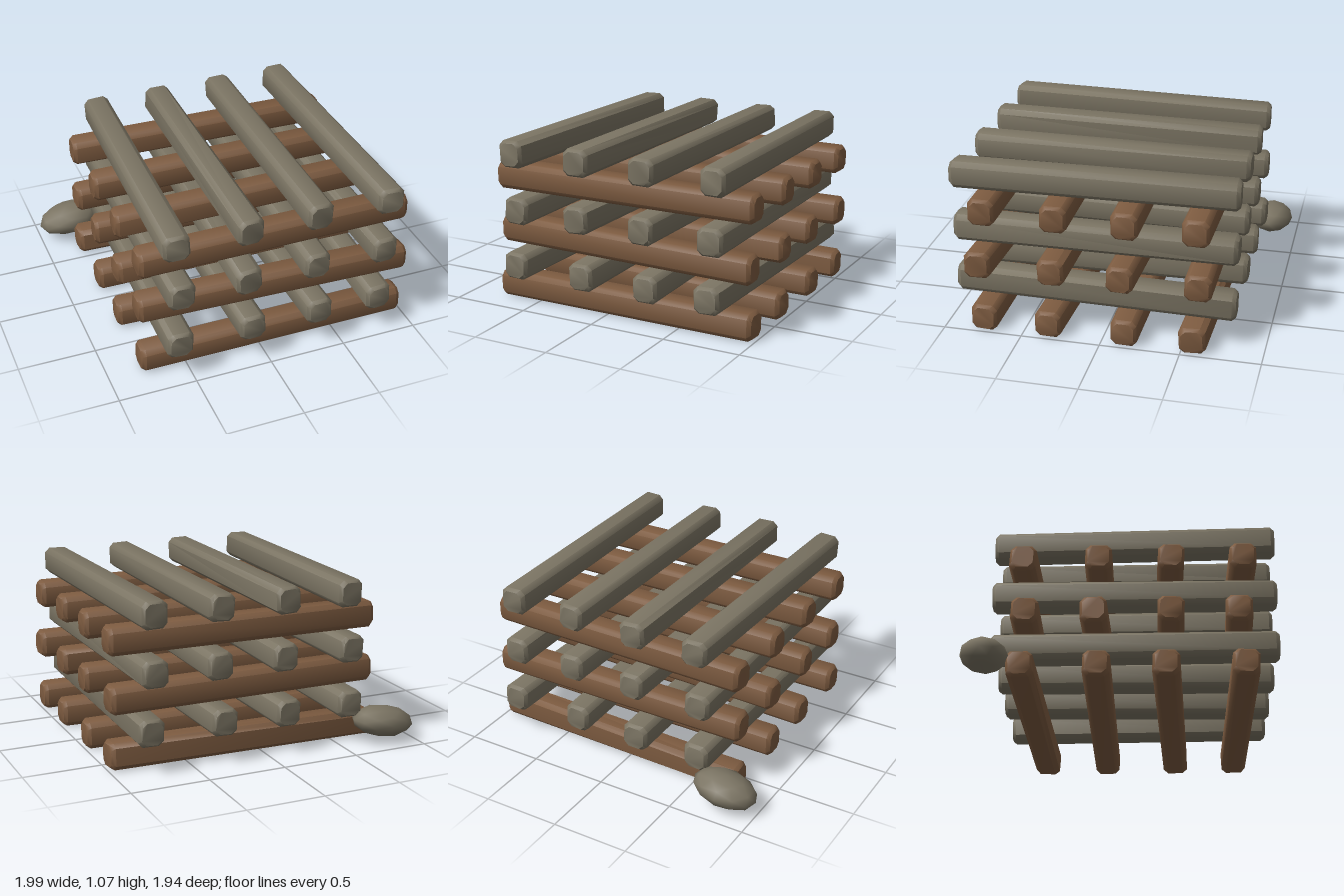
import * as THREE from 'three';
import { mergeVertices, toCreasedNormals } from 'three/addons/utils/BufferGeometryUtils.js';

const LENGTH = 1.775, WIDTH = 0.165, HEIGHT = 0.172, CHAMFER = 0.03;

// Small seeded generator, returns -1..1
let seed = 7;
function jitter() {
  seed = (seed * 16807) % 2147483647;
  return (seed / 2147483647) * 2 - 1;
}

// Chamfered cross-section, counter-clockwise
function profile(inset) {
  const w = WIDTH / 2 - inset, h = HEIGHT / 2 - inset, c = CHAMFER;
  return [[w, -h + c], [w, h - c], [w - c, h], [-w + c, h],
    [-w, h - c], [-w, -h + c], [-w + c, -h], [w - c, -h]];
}

// Rough-hewn beam along z, running from x = start to x = end with a slight twist
function beamGeometry(start, end) {
  const half = LENGTH / 2, positions = [], index = [];
  const stations = [[-half, 0.016], [-half + 0.024, 0], [half - 0.024, 0], [half, 0.016]];
  const rolls = [jitter() * 0.07, jitter() * 0.07];
  const slants = [jitter() * 0.07, jitter() * 0.07];
  stations.forEach(([z, inset], s) => {
    const side = s < 2 ? 0 : 1;
    const x0 = side ? end : start;
    const cos = Math.cos(rolls[side]), sin = Math.sin(rolls[side]);
    const ring = profile(inset).map(([x, y]) => {
      const px = x * cos - y * sin;
      const py = THREE.MathUtils.clamp(x * sin + y * cos, -HEIGHT / 2, HEIGHT / 2);
      return [px + x0, py, z + px * slants[side]];
    });
    ring.forEach((p) => positions.push(...p));
  });
  for (let s = 0; s < 3; s++) {
    for (let i = 0; i < 8; i++) {
      const a = s * 8 + i, b = s * 8 + (i + 1) % 8;
      index.push(a, b, b + 8, a, b + 8, a + 8);
    }
  }
  // End caps
  for (let i = 1; i < 7; i++) {
    index.push(0, i + 1, i, 24, 24 + i, 25 + i);
  }
  const g = new THREE.BufferGeometry();
  g.setAttribute('position', new THREE.Float32BufferAttribute(positions, 3));
  g.setIndex(index);
  return toCreasedNormals(g, 0.83);
}

export function createModel() {
  const model = new THREE.Group();
  const brown = new THREE.MeshStandardMaterial({ color: 0x7d5b40 });
  brown.name = 'brown wood';
  const grey = new THREE.MeshStandardMaterial({ color: 0x7b7463 });
  grey.name = 'weathered grey';

  // Crosswise beams per layer: z at the left end (+x) and at the right end (-x)
  const crossLayers = [
    [[-0.57, -0.615], [-0.145, -0.155], [0.335, 0.265], [0.745, 0.745]],
    [[-0.6, -0.595], [-0.12, -0.175], [0.31, 0.3], [0.775, 0.715]],
    [[-0.58, -0.615], [-0.15, -0.145], [0.285, 0.305], [0.735, 0.75]],
  ];
  // Lengthwise beams per layer: x at the front end and at the back end
  const longLayers = [
    [[-0.58, -0.565], [-0.105, -0.13], [0.345, 0.305], [0.755, 0.785]],
    [[-0.565, -0.57], [-0.135, -0.105], [0.315, 0.335], [0.775, 0.755]],
    [[-0.595, -0.55], [-0.13, -0.12], [0.32, 0.325], [0.79, 0.755]],
  ];

  for (let layer = 0; layer < 3; layer++) {
    const cross = new THREE.Group();
    cross.name = `crossLayer${layer + 1}`;
    cross.position.set(0.1, 0.09 + layer * 0.36, 0);
    crossLayers[layer].forEach(([left, right], i) => {
      const beam = new THREE.Mesh(beamGeometry(-right, -left), brown);
      beam.rotation.y = Math.PI / 2;
      beam.name = `crossBeam${i + 1}`;
      cross.add(beam);
    });

    const long = new THREE.Group();
    long.name = `longLayer${layer + 1}`;
    long.position.set(0, 0.27 + layer * 0.36, 0.075);
    longLayers[layer].forEach(([front, back], i) => {
      const beam = new THREE.Mesh(beamGeometry(back, front), grey);
      beam.name = `longBeam${i + 1}`;
      long.add(beam);
    });
    model.add(cross, long);
  }

  // Flattened stone beside the back right corner
  let stone = new THREE.IcosahedronGeometry(1, 1);
  stone.deleteAttribute('normal');
  stone.deleteAttribute('uv');
  stone = mergeVertices(stone, 0.001);
  stone.scale(0.212, 0.1, 0.146);
  stone.rotateZ(0.15);
  stone.computeVertexNormals();
  const rock = new THREE.Mesh(stone, grey);
  rock.name = 'stone';
  rock.position.set(-0.79, 0.138, -0.825);
  model.add(rock);

  return model;
}
